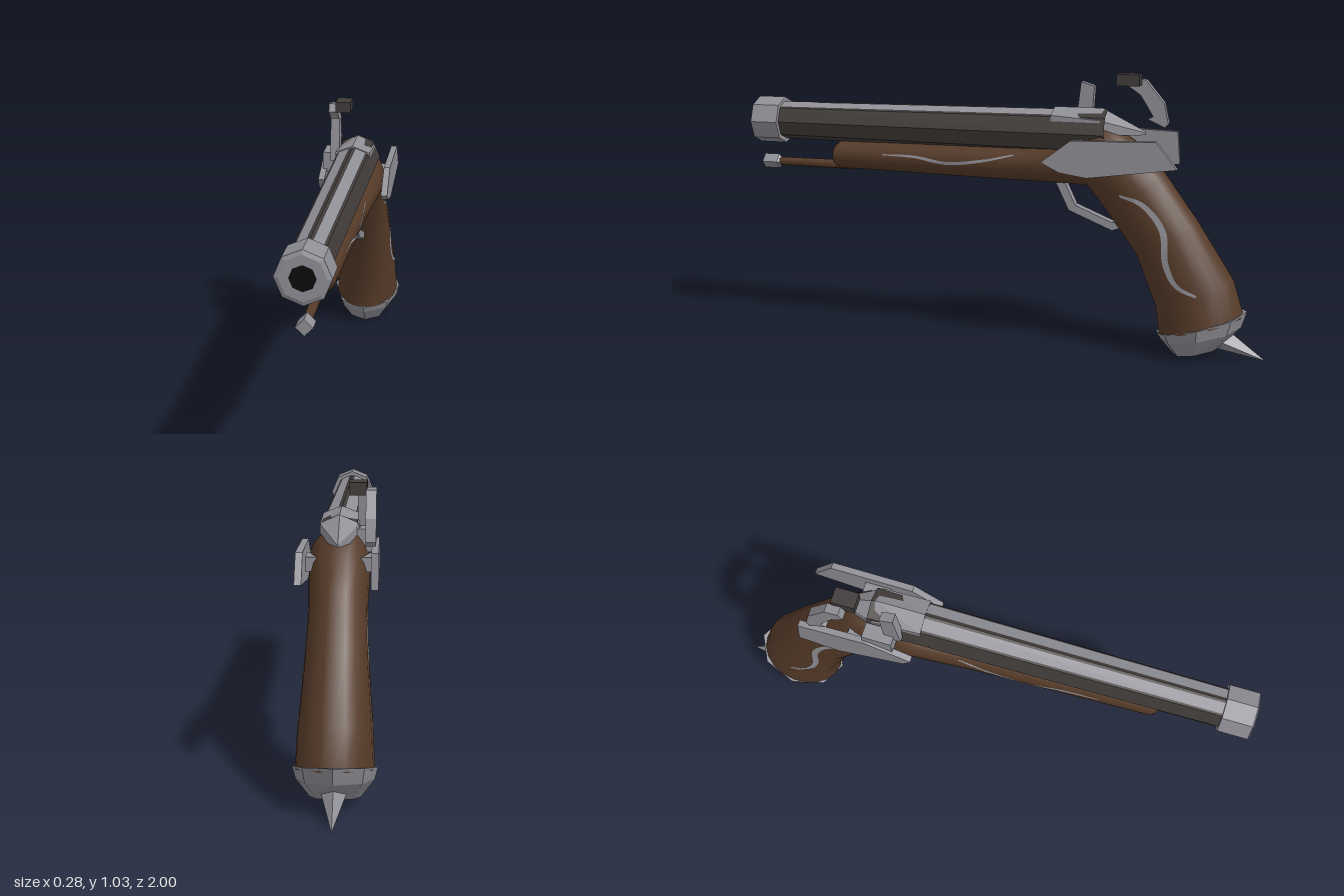
import * as THREE from 'three';

const mat = (name, color, side = THREE.FrontSide) => {
  const m = new THREE.MeshStandardMaterial({ color, side });
  m.name = name;
  return m;
};

// Skin a list of equal-sized rings; rings run counterclockwise seen against the direction of travel
function loft(rings, flat, caps = true) {
  const pos = [], idx = [], n = rings[0].length;
  rings.forEach(r => r.forEach(p => pos.push(p.x, p.y, p.z)));
  for (let i = 0; i < rings.length - 1; i++) {
    for (let j = 0; j < n; j++) {
      const a = i * n + j, b = i * n + (j + 1) % n, c = a + n, d = b + n;
      idx.push(a, c, b, b, c, d);
    }
  }
  const cap = (ring, flip) => {
    const start = pos.length / 3, mid = new THREE.Vector3();
    ring.forEach(p => { mid.addScaledVector(p, 1 / n); pos.push(p.x, p.y, p.z); });
    pos.push(mid.x, mid.y, mid.z);
    for (let j = 0; j < n; j++) {
      const a = start + j, b = start + (j + 1) % n;
      idx.push(start + n, flip ? b : a, flip ? a : b);
    }
  };
  if (caps) {
    cap(rings[0], false);
    cap(rings[rings.length - 1], true);
  }
  let g = new THREE.BufferGeometry();
  g.setAttribute('position', new THREE.Float32BufferAttribute(pos, 3));
  g.setIndex(idx);
  if (flat) g = g.toNonIndexed();
  g.computeVertexNormals();
  return g;
}

// Elliptical ring between a top (z, y) and a bottom (z, y) point with a half width
function section([zt, yt, zb, yb, w], n) {
  return Array.from({ length: n }, (_, j) => {
    const a = j / n * Math.PI * 2, s = Math.sin(a) / 2;
    return new THREE.Vector3(Math.cos(a) * w, (yt + yb) / 2 + s * (yt - yb), (zt + zb) / 2 + s * (zt - zb));
  });
}
const round = (z, y, r, n = 8) => section([z, y + r, z, y - r, r], n);

// Flat outline in (z, y), given thickness between two x values
function sidePlate(points, x0, x1) {
  const shape = new THREE.Shape(points.map(([z, y]) => new THREE.Vector2(-z, y)));
  const g = new THREE.ExtrudeGeometry(shape, { depth: x1 - x0, bevelEnabled: false });
  return g.rotateY(Math.PI / 2).translate(x0, 0, 0);
}

export function createModel() {
  const group = new THREE.Group();
  const steel = mat('steel', 0x8f8f96);
  const inlaySteel = steel.clone();
  inlaySteel.side = THREE.DoubleSide;
  const iron = mat('darkIron', 0x413c3a);
  const wood = mat('wood', 0x553a28);
  const black = mat('boreBlack', 0x0c0c0c, THREE.DoubleSide);
  const add = (name, geometry, material) => {
    const m = new THREE.Mesh(geometry, material);
    m.name = name;
    group.add(m);
    return m;
  };

  // Wooden stock: fore-end, wrist and grip in one skin
  const stock = add('stock', loft([
    [0.675, 0.73, 0.675, 0.66, 0.04],
    [0.655, 0.748, 0.655, 0.645, 0.055],
    [0.0, 0.765, 0.0, 0.632, 0.072],
    [-0.22, 0.78, -0.24, 0.63, 0.088],
    [-0.40, 0.865, -0.33, 0.625, 0.107],
    [-0.50, 0.80, -0.36, 0.59, 0.105],
    [-0.61, 0.69, -0.42, 0.51, 0.10],
    [-0.74, 0.51, -0.515, 0.38, 0.108],
    [-0.875, 0.30, -0.59, 0.19, 0.125],
    [-0.915, 0.17, -0.605, 0.085, 0.131],
  ].map(s => section(s, 20)), false), wood);

  // Eight-sided barrel with a hollow muzzle
  const by = 0.823, bore = 0.043, mouth = 0.998;
  add('barrel', loft([
    round(mouth, by, bore), round(mouth, by, 0.07), round(0.9, by, 0.073), round(-0.4, by, 0.086),
  ], true, false), iron);
  add('muzzleRing', loft([
    round(0.999, by, bore), round(0.999, by, 0.075), round(0.993, by, 0.09),
    round(0.885, by, 0.09), round(0.885, by, 0.06),
  ], true, false), steel);
  add('bore', loft([round(0.8, by, bore), round(0.999, by, bore)], true), black);

  // Bright strips along the two upper barrel faces
  for (const s of [-1, 1]) {
    const strip = new THREE.BufferGeometry();
    const p = [];
    for (const [z, r] of [[0.885, 0.075], [-0.22, 0.087]]) {
      for (const t of [0.18, 0.85]) {
        p.push(s * t * r * Math.SQRT1_2, by + r * (1 - t * (1 - Math.SQRT1_2)) + 0.001, z);
      }
    }
    strip.setAttribute('position', new THREE.Float32BufferAttribute(p, 3));
    strip.setIndex(s > 0 ? [0, 1, 2, 1, 3, 2] : [0, 2, 1, 1, 2, 3]);
    strip.computeVertexNormals();
    add('barrelStrip', strip, inlaySteel);
  }

  // Ridged breech tang running to a point
  const ridge = (z, w, yTop, ySide, yLow) => [[w, yLow], [w, ySide], [0, yTop], [-w, ySide], [-w, yLow]]
    .map(([x, y]) => new THREE.Vector3(x, y, z));
  add('breechTang', loft([
    ridge(-0.2, 0.066, 0.913, 0.888, 0.84), ridge(-0.38, 0.068, 0.913, 0.875, 0.82),
    ridge(-0.54, 0.002, 0.832, 0.828, 0.82),
  ], true), steel);

  // Ramrod and its tip
  add('ramrod', loft([round(0.93, 0.657, 0.016), round(0.6, 0.657, 0.018)], false), wood);
  add('ramrodTip', loft([
    round(0.98, 0.657, 0.028, 4), round(0.92, 0.657, 0.028, 4), round(0.91, 0.657, 0.018, 4),
  ], true), steel);

  // Butt cap with a spike
  add('buttCap', loft([
    [-0.928, 0.188, -0.595, 0.085, 0.141],
    [-0.908, 0.125, -0.61, 0.06, 0.13],
    [-0.84, 0.05, -0.66, 0.005, 0.085],
  ].map(s => section(s, 8)), true), steel);
  const tip = new THREE.Vector3(0, 0.004, -1), root = new THREE.Vector3(0, 0.075, -0.84);
  const axis = tip.clone().sub(root);
  const spike = new THREE.ConeGeometry(0.042, axis.length(), 4).toNonIndexed();
  spike.computeVertexNormals();
  const spikeMesh = add('buttSpike', spike, steel);
  spikeMesh.position.copy(root).addScaledVector(axis, 0.5);
  spikeMesh.quaternion.setFromUnitVectors(new THREE.Vector3(0, 1, 0), axis.normalize());

  // Side plates
  add('leftSidePlate', sidePlate([
    [-0.18, 0.725], [-0.29, 0.808], [-0.60, 0.815], [-0.675, 0.72], [-0.35, 0.675], [-0.25, 0.69],
  ], 0.113, 0.137), steel);
  add('lockPlate', sidePlate([
    [-0.22, 0.77], [-0.38, 0.83], [-0.64, 0.82], [-0.65, 0.70], [-0.5, 0.675], [-0.25, 0.73],
  ], -0.137, -0.113), steel);
  for (const s of [-1, 1]) {
    const pin = new THREE.BoxGeometry(0.05, 0.05, 0.1);
    pin.translate(s * 0.09, 0.75, -0.42);
    add('platePin', pin, steel);
  }

  // Flintlock: pan, striking plate, curved hammer and flint
  const pan = new THREE.BoxGeometry(0.07, 0.08, 0.11);
  pan.translate(-0.092, 0.822, -0.345);
  add('pan', pan, steel);
  add('strikingPlate', sidePlate([
    [-0.285, 1.0], [-0.335, 0.985], [-0.325, 0.835], [-0.265, 0.835],
  ], -0.095, -0.06), steel);
  add('hammer', sidePlate([
    [-0.455, 0.985], [-0.47, 1.015], [-0.52, 1.01], [-0.59, 0.925], [-0.607, 0.85],
    [-0.595, 0.835], [-0.53, 0.865], [-0.55, 0.875], [-0.52, 0.925], [-0.5, 0.955],
  ], -0.128, -0.093), steel);
  const flint = new THREE.BoxGeometry(0.06, 0.042, 0.085);
  flint.translate(-0.066, 1.012, -0.463);
  add('flint', flint, iron);

  // Trigger guard
  add('triggerGuard', sidePlate([
    [-0.205, 0.645], [-0.26, 0.53], [-0.425, 0.462], [-0.48, 0.48], [-0.48, 0.505],
    [-0.425, 0.492], [-0.285, 0.55], [-0.24, 0.645],
  ], -0.02, 0.02), steel);

  // Winding inlays laid on both sides of the wood
  stock.updateMatrixWorld(true);
  const ray = new THREE.Raycaster();
  const surfaceX = (z, y) => {
    ray.set(new THREE.Vector3(1, y, z), new THREE.Vector3(-1, 0, 0));
    const hit = ray.intersectObject(stock)[0];
    return hit ? hit.point.x + 0.002 : 0.06;
  };
  const inlay = (points, width) => {
    const curve = new THREE.CatmullRomCurve3(points.map(([z, y]) => new THREE.Vector3(0, y, z)));
    const steps = 40, p = [], idx = [];
    for (let i = 0; i <= steps; i++) {
      const c = curve.getPoint(i / steps), t = curve.getTangent(i / steps);
      const w = width * (0.35 + 0.65 * Math.sin(Math.PI * i / steps)) / 2;
      for (const s of [-1, 1]) {
        const z = c.z + s * w * t.y, y = c.y - s * w * t.z;
        p.push(surfaceX(z, y), y, z);
      }
      if (i < steps) idx.push(2 * i, 2 * i + 1, 2 * i + 2, 2 * i + 1, 2 * i + 3, 2 * i + 2);
    }
    for (const side of [1, -1]) {
      const g = new THREE.BufferGeometry();
      g.setAttribute('position', new THREE.Float32BufferAttribute(p.map((v, k) => k % 3 ? v : v * side), 3));
      g.setIndex(side > 0 ? idx : idx.slice().reverse());
      g.computeVertexNormals();
      add('inlay', g, inlaySteel);
    }
  };
  inlay([[-0.465, 0.61], [-0.55, 0.58], [-0.625, 0.49], [-0.64, 0.37], [-0.68, 0.295], [-0.755, 0.26]], 0.024);
  inlay([[0.46, 0.712], [0.33, 0.71], [0.2, 0.692], [0.06, 0.708], [-0.06, 0.735]], 0.012);

  return group;
}
